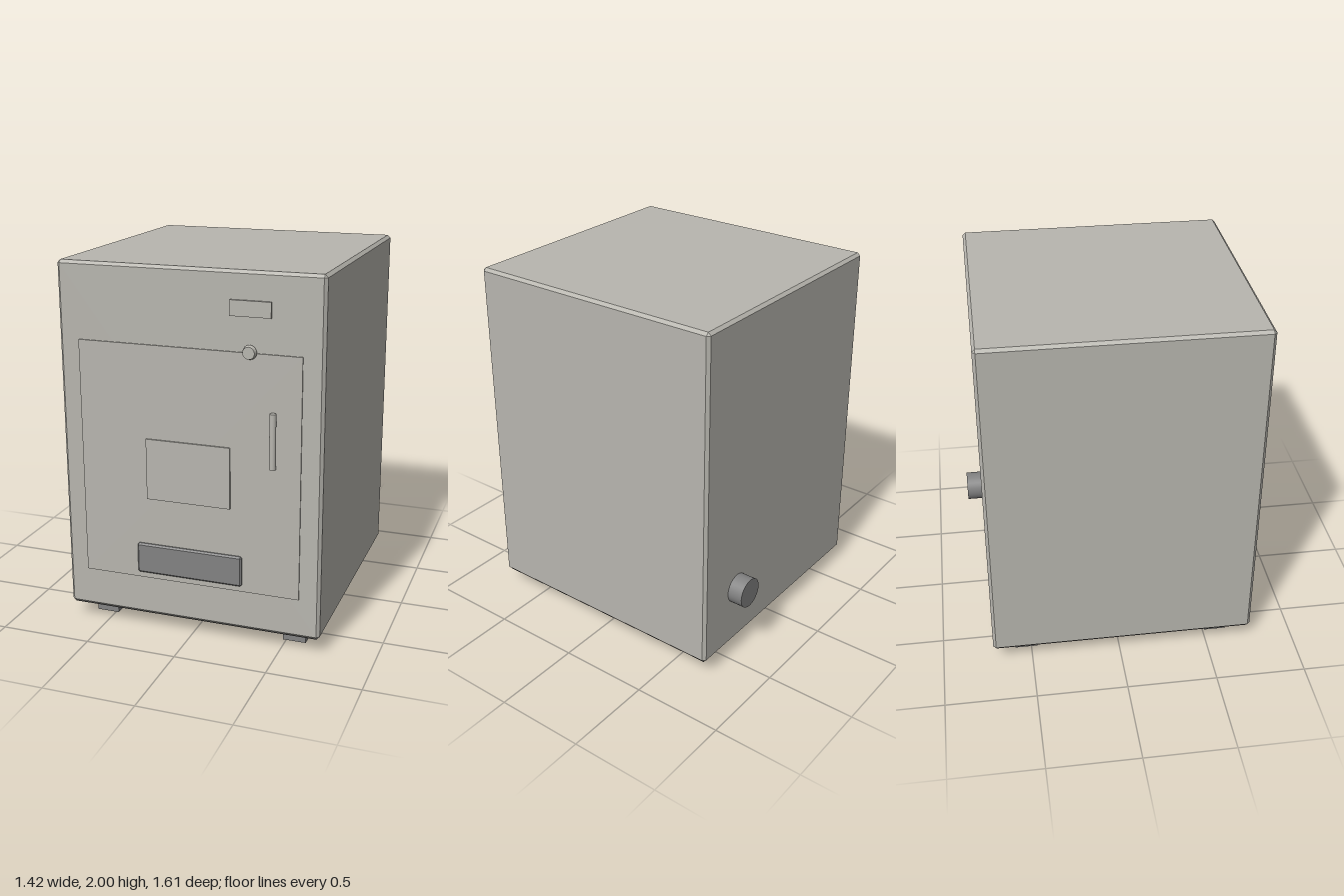
import * as THREE from 'three';
import { ConvexGeometry } from 'three/addons/geometries/ConvexGeometry.js';

const mat = (name, color) => {
  const m = new THREE.MeshStandardMaterial({ color });
  m.name = name;
  return m;
};

// Box given by its limits, with every edge cut by a flat chamfer
function chamferBox([x0, x1], [y0, y1], [z0, z1], c) {
  const pts = [];
  for (const [x, sx] of [[x0, 1], [x1, -1]])
    for (const [y, sy] of [[y0, 1], [y1, -1]])
      for (const [z, sz] of [[z0, 1], [z1, -1]])
        pts.push(
          new THREE.Vector3(x, y + sy * c, z + sz * c),
          new THREE.Vector3(x + sx * c, y, z + sz * c),
          new THREE.Vector3(x + sx * c, y + sy * c, z)
        );
  return new ConvexGeometry(pts);
}

// Plain box given by its limits
function box([x0, x1], [y0, y1], [z0, z1]) {
  return new THREE.BoxGeometry(x1 - x0, y1 - y0, z1 - z0)
    .translate((x0 + x1) / 2, (y0 + y1) / 2, (z0 + z1) / 2);
}

export function createModel() {
  const group = new THREE.Group();
  const casing = mat('casing grey', 0xb8b6af);
  const dark = mat('dark grey', 0x828282);
  const black = mat('underside black', 0x343233);

  const add = (name, geometry, material) => {
    const mesh = new THREE.Mesh(geometry, material);
    mesh.name = name;
    group.add(mesh);
    return mesh;
  };

  // Cabinet and its dark underside
  add('cabinet', chamferBox([-0.711, 0.711], [0.09, 2], [-0.718, 0.753], 0.016), casing);
  add('underside', box([-0.695, 0.695], [0.087, 0.092], [-0.702, 0.737]), black);

  // Door with its raised panel, and the label plate above
  add('door', box([-0.6, 0.6], [0.308, 1.595], [0.74, 0.76]), casing);
  add('doorPanel', box([-0.233, 0.228], [0.765, 1.096], [0.75, 0.769]), casing);
  add('labelPlate', box([0.226, 0.44], [1.775, 1.855], [0.74, 0.766]), casing);

  // Dark vent low on the door
  add('vent', chamferBox([-0.295, 0.292], [0.34, 0.508], [0.75, 0.776], 0.009), dark);

  // Upright bar handle
  add('handle', new THREE.CylinderGeometry(0.017, 0.017, 0.29, 20), casing)
    .position.set(0.46, 1.16, 0.787);

  // Round knob, tapering to the front
  const knob = add('knob', new THREE.CylinderGeometry(0.031, 0.037, 0.022, 24), casing);
  knob.rotation.x = Math.PI / 2;
  knob.position.set(0.335, 1.603, 0.786);

  // Outlet pipe on the back
  const outlet = add('outletPipe', new THREE.CylinderGeometry(0.083, 0.083, 0.1, 32), dark);
  outlet.rotation.x = Math.PI / 2;
  outlet.position.set(0.42, 0.425, -0.753);

  // Four square feet
  for (const x of [-0.548, 0.545])
    for (const z of [-0.528, 0.572])
      add('foot', new THREE.BoxGeometry(0.127, 0.095, 0.125), dark).position.set(x, 0.0475, z);

  return group;
}
